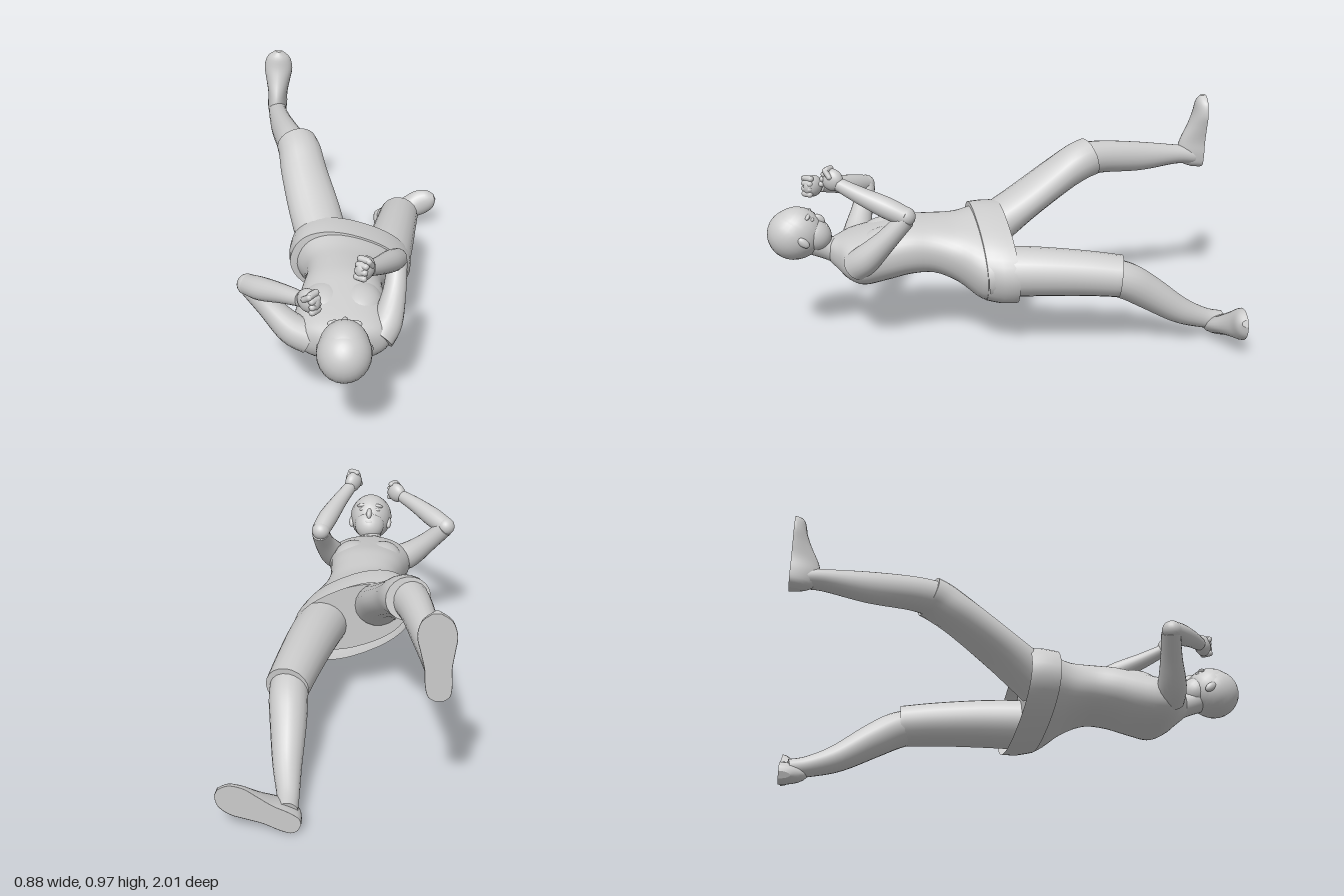
import * as THREE from 'three';

const grey = new THREE.MeshStandardMaterial({ color: 0xcccccc });
const thin = new THREE.MeshStandardMaterial({ color: 0xcccccc, side: THREE.DoubleSide });
const V = (x, y, z) => new THREE.Vector3(x, y, z);

// Resample rows of numbers with a smooth spline
function smooth(rows, steps) {
  const out = [], last = rows.length - 1;
  for (let k = 0; k <= last * steps; k++) {
    const i = Math.min(Math.floor(k / steps), last - 1), t = k / steps - i;
    const p = [i - 1, i, i + 1, i + 2].map(j => rows[Math.min(Math.max(j, 0), last)]);
    out.push(rows[0].map((_, c) => {
      const m1 = (p[2][c] - p[0][c]) / 2, m2 = (p[3][c] - p[1][c]) / 2, d = p[2][c] - p[1][c];
      return p[1][c] + t * (m1 + t * (3 * d - 2 * m1 - m2 + t * (m1 + m2 - 2 * d)));
    }));
  }
  return out;
}

// Skin a list of rings (counter-clockwise about the path), with flat end caps
function skin(rings, caps = true) {
  const n = rings[0].length, pos = [], idx = [];
  const add = p => pos.push(p.x, p.y, p.z);
  rings.forEach(r => r.forEach(add));
  for (let i = 0; i < rings.length - 1; i++) for (let j = 0; j < n; j++) {
    const a = i * n + j, b = i * n + (j + 1) % n;
    idx.push(a, b, a + n, b, b + n, a + n);
  }
  if (caps) [rings[0], rings[rings.length - 1]].forEach((r, end) => {
    const s = pos.length / 3;
    r.forEach(add);
    add(r.reduce((c, p) => c.addScaledVector(p, 1 / n), V(0, 0, 0)));
    for (let j = 0; j < n; j++) {
      const a = s + j, b = s + (j + 1) % n;
      idx.push(s + n, end ? a : b, end ? b : a);
    }
  });
  const g = new THREE.BufferGeometry();
  g.setAttribute('position', new THREE.Float32BufferAttribute(pos, 3));
  g.setIndex(idx);
  g.computeVertexNormals();
  return g;
}

function mesh(parent, name, geo, mat = grey) {
  const m = new THREE.Mesh(geo, mat);
  m.name = name;
  parent.add(m);
  return m;
}

function ball(parent, name, p, s) {
  const m = mesh(parent, name, new THREE.SphereGeometry(1, 24, 16));
  m.position.set(...p);
  m.scale.set(...s);
  return m;
}

// Limb through rows of [x, y, z, halfWidth, halfDepth = halfWidth]
function limb(parent, name, rows) {
  const r = smooth(rows.map(q => [...q.slice(0, 4), q[4] ?? q[3]]), 5), N = 20;
  const at = i => V(...r[Math.min(Math.max(i, 0), r.length - 1)].slice(0, 3));
  return mesh(parent, name, skin(r.map((row, i) => {
    const t = at(i + 1).sub(at(i - 1)).normalize();
    const e1 = V(0, 1, 0).cross(t).normalize(), e2 = t.clone().cross(e1);
    return Array.from({ length: N }, (_, j) => {
      const a = j / N * Math.PI * 2;
      return at(i).addScaledVector(e1, row[3] * Math.cos(a)).addScaledVector(e2, row[4] * Math.sin(a));
    });
  })));
}

// Slightly squared rings for the trunk from rows of [z, x, y, halfWidth, halfDepth, rollDegrees]
function trunkRings(rows, steps, shear = 0) {
  const N = 40, soft = v => Math.sign(v) * Math.abs(v) ** 0.87;
  return smooth(rows, steps).map(([z, x, y, w, d, roll]) => {
    const c = Math.cos(roll * Math.PI / 180), s = Math.sin(roll * Math.PI / 180);
    return Array.from({ length: N }, (_, j) => {
      const a = j / N * Math.PI * 2, u = w * soft(Math.cos(a)), v = d * soft(Math.sin(a));
      return V(x + u * c - v * s, y + u * s + v * c, z - shear * u);
    });
  });
}

// Shoe with a flat sole: rows of [length, halfWidth, height]
function foot(parent, name, x, y, degrees) {
  const N = 24;
  const rows = smooth([[0, 0.016, 0.05], [0.02, 0.04, 0.095], [0.07, 0.048, 0.12], [0.13, 0.048, 0.11],
    [0.2, 0.06, 0.078], [0.26, 0.069, 0.056], [0.315, 0.054, 0.045], [0.345, 0.016, 0.028]], 4);
  const m = mesh(parent, name, skin(rows.map(([s, w, h]) => Array.from({ length: N }, (_, j) => {
    const a = j / N * Math.PI * 2;
    return V(w * Math.sin(a), s, h * Math.max(0, Math.cos(a)));
  }))));
  m.position.set(x, y, -1);
  m.rotation.z = (degrees - 90) * Math.PI / 180;
}

// Clenched fist: local z points out of the forearm, local y stacks the fingers
function fist(parent, name, p, dir, side) {
  const g = new THREE.Group();
  g.name = name;
  const z = V(...dir).normalize(), x = V(0, 1, 0).cross(z).normalize();
  g.quaternion.setFromRotationMatrix(new THREE.Matrix4().makeBasis(x, z.clone().cross(x), z));
  g.position.set(...p);
  ball(g, 'palm', [0, 0, -0.006], [0.034, 0.047, 0.05]);
  for (let i = 0; i < 4; i++) {
    const f = mesh(g, 'finger', new THREE.CapsuleGeometry(0.0135, 0.03, 4, 10));
    f.position.set(side * 0.004, 0.035 - i * 0.023, 0.03 - Math.abs(i - 1.3) * 0.004);
    f.rotation.z = Math.PI / 2;
  }
  const thumb = mesh(g, 'thumb', new THREE.CapsuleGeometry(0.012, 0.032, 4, 10));
  thumb.position.set(side * 0.027, 0.025, 0.012);
  thumb.rotation.x = 1.1;
  parent.add(g);
}

export function createModel() {
  const model = new THREE.Group();
  model.name = 'recliningFighter';

  // Trunk, twisting from level shoulders to rolled hips
  mesh(model, 'torso', skin(trunkRings([
    [0.02, 0.02, 0.385, 0.25, 0.145, -22], [0.1, 0.01, 0.387, 0.245, 0.154, -22],
    [0.2, 0.002, 0.41, 0.182, 0.128, -16], [0.3, -0.005, 0.428, 0.16, 0.115, -9],
    [0.4, -0.008, 0.425, 0.17, 0.118, -3], [0.5, -0.008, 0.405, 0.185, 0.121, 0],
    [0.6, -0.003, 0.388, 0.198, 0.117, 0], [0.665, 0, 0.393, 0.172, 0.096, 0],
    [0.71, 0, 0.403, 0.105, 0.07, 0], [0.745, 0.003, 0.412, 0.05, 0.05, 0]], 4)));
  for (const s of [-1, 1]) ball(model, 'chest', [s * 0.07 - 0.005, 0.445, 0.49], [0.095, 0.084, 0.13]);

  // Wide open band round the hips
  mesh(model, 'hipBand', skin(trunkRings([
    [-0.02, 0.018, 0.385, 0.274, 0.162, -22], [0.045, 0.016, 0.386, 0.274, 0.164, -22],
    [0.11, 0.008, 0.388, 0.257, 0.161, -22]], 2, 0.12), false), thin);
  mesh(model, 'hipBandLip', skin(trunkRings([
    [0.11, 0.008, 0.388, 0.257, 0.161, -22], [0.114, 0.008, 0.389, 0.225, 0.145, -22]], 1, 0.12), false), thin);

  // Legs: loose trousers to the knee, bare shins, flat-soled shoes
  limb(model, 'leftTrouserLeg', [[0.155, 0.34, 0.06, 0.112], [0.185, 0.345, -0.12, 0.107],
    [0.215, 0.34, -0.33, 0.098], [0.237, 0.328, -0.49, 0.091]]);
  limb(model, 'leftShin', [[0.235, 0.335, -0.42, 0.078], [0.228, 0.3, -0.52, 0.08], [0.215, 0.238, -0.62, 0.074],
    [0.2, 0.145, -0.76, 0.059], [0.18, 0.092, -0.88, 0.045], [0.172, 0.074, -0.96, 0.041]]);
  foot(model, 'leftShoe', 0.12, 0.027, 24);
  limb(model, 'rightTrouserLeg', [[-0.09, 0.435, 0.07, 0.11, 0.1], [-0.145, 0.545, -0.1, 0.115, 0.08],
    [-0.2, 0.65, -0.27, 0.105, 0.08], [-0.225, 0.707, -0.37, 0.098, 0.086], [-0.245, 0.727, -0.43, 0.093, 0.088]]);
  limb(model, 'rightShin', [[-0.24, 0.715, -0.38, 0.078], [-0.282, 0.715, -0.5, 0.067, 0.074],
    [-0.332, 0.698, -0.69, 0.056, 0.067], [-0.369, 0.692, -0.87, 0.045], [-0.38, 0.682, -0.96, 0.042]]);
  foot(model, 'rightShoe', -0.386, 0.628, 87);

  // Arms raised in a guard
  limb(model, 'leftUpperArm', [[0.14, 0.385, 0.63, 0.066], [0.175, 0.43, 0.585, 0.062],
    [0.203, 0.52, 0.5, 0.047], [0.212, 0.61, 0.42, 0.041]]);
  ball(model, 'leftElbow', [0.21, 0.62, 0.42], [0.042, 0.042, 0.042]);
  limb(model, 'leftForearm', [[0.213, 0.62, 0.42, 0.041], [0.185, 0.655, 0.5, 0.045],
    [0.14, 0.7, 0.61, 0.036], [0.1, 0.735, 0.69, 0.029]]);
  fist(model, 'leftFist', [0.084, 0.755, 0.722], [-0.5, 0.45, 0.85], 1);
  limb(model, 'rightUpperArm', [[-0.13, 0.385, 0.635, 0.068], [-0.2, 0.42, 0.63, 0.063],
    [-0.29, 0.505, 0.605, 0.047], [-0.365, 0.585, 0.585, 0.041]]);
  ball(model, 'rightElbow', [-0.37, 0.593, 0.588], [0.042, 0.042, 0.042]);
  limb(model, 'rightForearm', [[-0.37, 0.593, 0.588, 0.041], [-0.31, 0.61, 0.645, 0.046],
    [-0.22, 0.64, 0.725, 0.037], [-0.15, 0.657, 0.785, 0.029]]);
  fist(model, 'rightFist', [-0.113, 0.668, 0.815], [0.75, 0.15, 0.6], -1);

  // Neck and head, chin tucked towards the chest
  limb(model, 'neck', [[0, 0.395, 0.66, 0.08], [0.003, 0.415, 0.73, 0.054], [0.01, 0.445, 0.8, 0.053],
    [0.015, 0.48, 0.86, 0.064]]);
  const head = new THREE.Group();
  head.name = 'head';
  head.position.set(0.015, 0.499, 0.884);
  head.quaternion.setFromRotationMatrix(
    new THREE.Matrix4().makeBasis(V(-1, 0, 0), V(0, 0.66, 0.75).normalize(), V(0, 0.75, -0.66).normalize()));
  ball(head, 'skull', [0, 0, 0], [0.099, 0.113, 0.116]);
  ball(head, 'hair', [0, 0.006, -0.013], [0.104, 0.112, 0.11]);
  ball(head, 'jaw', [0, -0.062, 0.043], [0.073, 0.078, 0.07]);
  ball(head, 'nose', [0, -0.035, 0.11], [0.013, 0.028, 0.019]);
  ball(head, 'mouth', [0, -0.077, 0.1], [0.026, 0.01, 0.013]);
  for (const s of [-1, 1]) {
    ball(head, 'ear', [s * 0.093, -0.035, 0.012], [0.014, 0.03, 0.018]);
    ball(head, 'eye', [s * 0.036, -0.008, 0.097], [0.016, 0.009, 0.012]);
    ball(head, 'brow', [s * 0.037, 0.014, 0.096], [0.028, 0.01, 0.015]);
  }
  model.add(head);
  return model;
}
